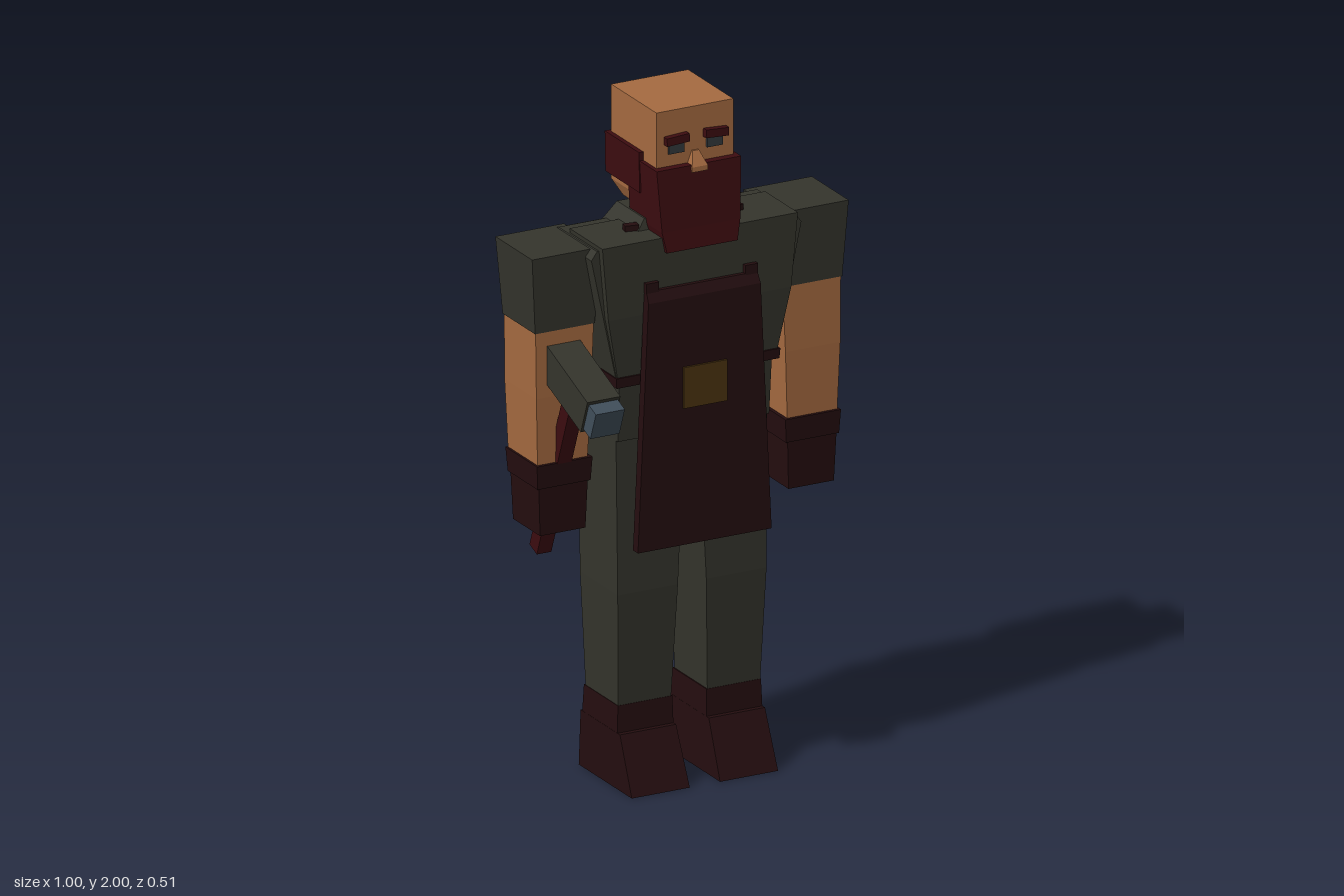
import * as THREE from 'three';

const mat = (name, color) => {
  const m = new THREE.MeshStandardMaterial({ color, flatShading: true });
  m.name = name;
  return m;
};

// Solid with rectangular cross-sections, rings from bottom to top: [y, x0, x1, z0, z1]
function loft(rings) {
  const pos = [], idx = [];
  for (const [y, x0, x1, z0, z1] of rings) pos.push(x0, y, z1, x1, y, z1, x1, y, z0, x0, y, z0);
  for (let r = 0; r < rings.length - 1; r++) {
    for (let i = 0; i < 4; i++) {
      const a = r * 4 + i, b = r * 4 + (i + 1) % 4;
      idx.push(a, b, b + 4, a, b + 4, a + 4);
    }
  }
  const t = (rings.length - 1) * 4;
  idx.push(0, 2, 1, 0, 3, 2, t, t + 1, t + 2, t, t + 2, t + 3);
  const g = new THREE.BufferGeometry();
  g.setAttribute('position', new THREE.Float32BufferAttribute(pos, 3));
  g.setIndex(idx);
  const flat = g.toNonIndexed();
  flat.computeVertexNormals();
  return flat;
}

export function createModel() {
  const model = new THREE.Group();
  model.name = 'blacksmith';
  const skin = mat('skin', 0xa56a40), cloth = mat('cloth', 0x34342c), leather = mat('darkLeather', 0x240d0f),
    hair = mat('redHair', 0x3c0c10), steel = mat('steel', 0x404e5a), pocketTan = mat('pocketTan', 0x4a3210),
    eyeGrey = mat('eyeGrey', 0x33383c);

  const add = (name, geo, material, parent = model) => {
    const m = new THREE.Mesh(geo, material);
    m.name = name;
    parent.add(m);
    return m;
  };
  const box = (name, w, h, d, x, y, z, material, parent) => {
    const m = add(name, new THREE.BoxGeometry(w, h, d), material, parent);
    m.position.set(x, y, z);
    return m;
  };
  // Symmetric loft: rings [y, halfWidth, z0, z1]
  const centred = (name, rings, material) =>
    add(name, loft(rings.map(([y, w, a, b]) => [y, -w, w, a, b])), material);
  // Mirrored pair of lofts given for the +x side
  const pair = (name, rings, material) => {
    add(name + 'Left', loft(rings), material);
    add(name + 'Right', loft(rings.map(([y, a, b, c, d]) => [y, -b, -a, c, d])), material);
  };

  // Torso, collar, belt and hips
  centred('torso', [[1.22, 0.252, -0.24, 0.025], [1.6, 0.333, -0.26, 0.025], [1.625, 0.315, -0.2, 0.025]], cloth);
  centred('chest', [[1.22, 0.25, -0.14, 0.03], [1.42, 0.29, -0.145, 0.045], [1.638, 0.31, -0.145, 0.047]], cloth);
  centred('collar', [[1.59, 0.19, -0.225, -0.02], [1.67, 0.13, -0.2, -0.04]], cloth);
  centred('belt', [[1.21, 0.258, -0.25, 0.035], [1.24, 0.26, -0.25, 0.037]], leather);
  centred('hips', [[1.04, 0.24, -0.228, 0.008], [1.215, 0.242, -0.238, 0.02]], cloth);

  // Neck, head and beard
  centred('neck', [[1.58, 0.085, -0.19, -0.04], [1.7, 0.095, -0.21, -0.04]], skin);
  centred('head', [[1.68, 0.105, -0.21, 0], [1.72, 0.122, -0.248, 0.016], [2, 0.122, -0.248, 0.016]], skin);
  centred('beard', [[1.595, 0.112, -0.05, 0.06], [1.655, 0.124, -0.135, 0.053], [1.835, 0.134, -0.135, 0.04]], hair);
  centred('hairBand', [[1.74, 0.134, -0.26, -0.06], [1.86, 0.136, -0.26, -0.06]], hair);
  centred('nose', [[1.815, 0.025, 0, 0.046], [1.83, 0.025, 0, 0.046], [1.87, 0.01, 0, 0.022]], skin);
  for (const s of [-1, 1]) {
    box('eyebrow', 0.072, 0.024, 0.03, s * 0.062, 1.915, 0.02, hair).rotation.z = -s * 0.06;
    box('eye', 0.05, 0.028, 0.009, s * 0.061, 1.886, 0.018, eyeGrey);
  }

  // Apron with straps and pocket
  centred('apron', [[0.725, 0.212, 0.045, 0.074], [1.46, 0.178, 0.045, 0.073], [1.49, 0.176, 0.042, 0.058]], leather);
  box('apronPocket', 0.138, 0.122, 0.008, 0, 1.193, 0.076, pocketTan);
  for (const s of [-1, 1]) {
    box('apronStrap', 0.04, 0.03, 0.03, s * 0.157, 1.5, 0.045, leather);
    box('shoulderStrap', 0.04, 0.03, 0.024, s * 0.166, 1.64, -0.053, leather).rotation.y = s * 0.2;
  }

  // Arms
  pair('sleeve', [[1.395, 0.298, 0.487, -0.21, -0.02], [1.622, 0.285, 0.502, -0.225, -0.01]], cloth);
  pair('arm', [[0.99, 0.317, 0.475, -0.2, -0.028], [1.2, 0.308, 0.482, -0.208, -0.022], [1.396, 0.3, 0.484, -0.207, -0.023]], skin);
  pair('cuff', [[0.93, 0.31, 0.478, -0.197, -0.022], [1, 0.306, 0.482, -0.203, -0.018]], leather);
  pair('hand', [[0.788, 0.322, 0.466, -0.188, -0.03], [0.932, 0.317, 0.472, -0.192, -0.026]], leather);

  // Legs and boots
  pair('leg', [[0.23, 0.058, 0.225, -0.207, -0.018], [0.58, 0.045, 0.236, -0.22, 0],
    [1.06, 0.022, 0.24, -0.228, -0.003]], cloth);
  pair('bootShaft', [[0.15, 0.052, 0.23, -0.22, -0.012], [0.245, 0.054, 0.227, -0.214, -0.016]], leather);
  pair('boot', [[0, 0.048, 0.232, -0.235, 0.075], [0.165, 0.052, 0.23, -0.228, 0.002]], leather);

  // Hammer held in the right hand, tilted forward
  const hammer = new THREE.Group();
  hammer.name = 'hammer';
  hammer.position.set(-0.395, 1.262, 0.06);
  hammer.rotation.x = 0.37;
  model.add(hammer);
  box('hammerHandle', 0.046, 0.6, 0.046, 0, -0.305, 0, hair, hammer);
  box('hammerHead', 0.105, 0.108, 0.275, 0, 0, 0.005, cloth, hammer);
  box('hammerFace', 0.092, 0.088, 0.045, 0, 0, 0.164, steel, hammer);

  return model;
}
